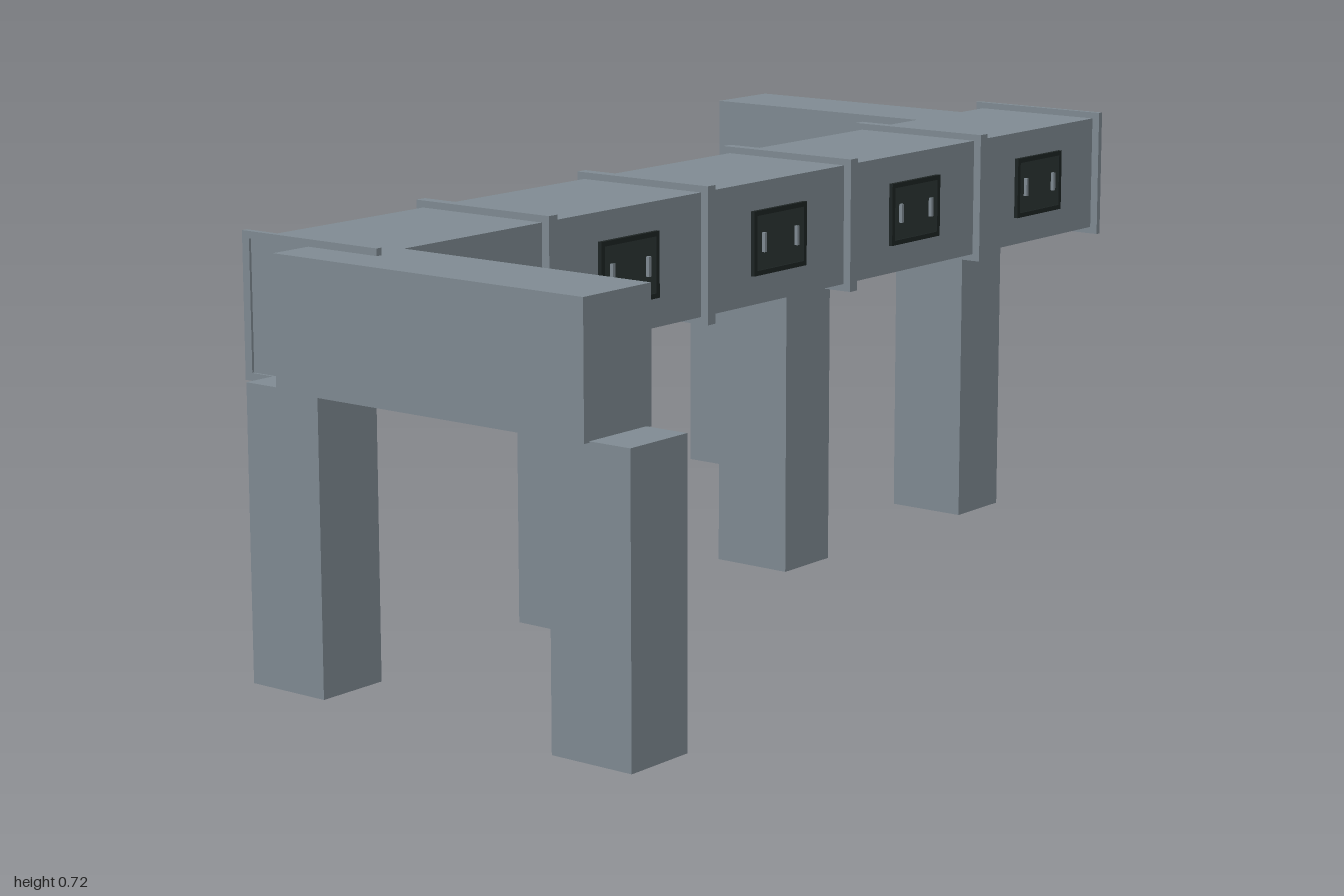
import * as THREE from 'three';

export function createModel() {
  const model = new THREE.Group();
  model.name = 'ventilationDuct';

  const mat = (name, color) => {
    const m = new THREE.MeshStandardMaterial({ color });
    m.name = name;
    return m;
  };
  const metal = mat('ductGrey', 0x7f8a92);
  const dark = mat('hatchDark', 0x2b3533);
  const frameDark = mat('hatchFrame', 0x1d2423);

  // Box given by its limits on each axis
  const box = (name, material, [x0, x1], [y0, y1], [z0, z1], parent = model) => {
    const mesh = new THREE.Mesh(new THREE.BoxGeometry(x1 - x0, y1 - y0, z1 - z0), material);
    mesh.position.set((x0 + x1) / 2, (y0 + y1) / 2, (z0 + z1) / 2);
    mesh.name = name;
    parent.add(mesh);
    return mesh;
  };

  const Y = [0.506, 0.706];
  const back = -1, front = 0.928, sections = 5;
  const step = (front - back) / sections;

  // Main duct and the two side branches
  box('mainDuct', metal, [-0.12, 0.12], Y, [back + 0.004, front - 0.004]);
  box('frontBranch', metal, [0, 0.575], Y, [0.856, 1]);
  box('backBranch', metal, [-0.575, -0.1], Y, [-0.919, -0.776]);

  // Rectangular flange ring around the duct
  const rect = (target, hx, y0, y1) => {
    target.moveTo(-hx, y0);
    target.lineTo(hx, y0);
    target.lineTo(hx, y1);
    target.lineTo(-hx, y1);
    target.closePath();
    return target;
  };
  const ring = rect(new THREE.Shape(), 0.134, 0.494, 0.717);
  ring.holes.push(rect(new THREE.Path(), 0.12, Y[0], Y[1]));
  const t = 0.01;
  const flangeGeo = new THREE.ExtrudeGeometry(ring, { depth: t, bevelEnabled: false });
  const flange = (z) => {
    const mesh = new THREE.Mesh(flangeGeo, metal);
    mesh.position.z = z;
    mesh.name = 'flange';
    model.add(mesh);
  };

  // Each section has a flange at both ends and a hatch on its left wall
  for (let i = 0; i < sections; i++) {
    const z0 = back + i * step, z1 = z0 + step;
    flange(z0);
    flange(z1 - t);

    const hatch = new THREE.Group();
    hatch.name = 'hatch';
    hatch.position.set(0.12, 0.607, (z0 + z1) / 2 + 0.001);
    model.add(hatch);
    box('hatchPanel', dark, [-0.002, 0.004], [-0.05, 0.05], [-0.068, 0.068], hatch);
    for (const s of [-1, 1]) {
      const y = s * 0.049, z = s * 0.067;
      box('hatchFrameRail', frameDark, [-0.003, 0.007], [y - 0.004, y + 0.004], [-0.071, 0.071], hatch);
      box('hatchFrameStile', frameDark, [-0.003, 0.007], [-0.045, 0.045], [z - 0.004, z + 0.004], hatch);
      const h = s * 0.044;
      box('hatchHandle', metal, [0.003, 0.01], [-0.016, 0.016], [h - 0.003, h + 0.003], hatch);
    }
  }

  // Support legs: x centre, z centre, foot height
  const legs = [
    [0, 0.928, 0.056],
    [0, 0.333, 0.021],
    [0, -0.187, 0.021],
    [0, -0.706, 0.021],
    [0.575, 0.928, 0.056],
    [-0.578, -0.842, 0],
  ];
  for (const [x, z, foot] of legs) {
    box('supportLeg', metal, [x - 0.071, x + 0.071], [foot, 0.508], [z - 0.061, z + 0.061]);
  }

  return model;
}
